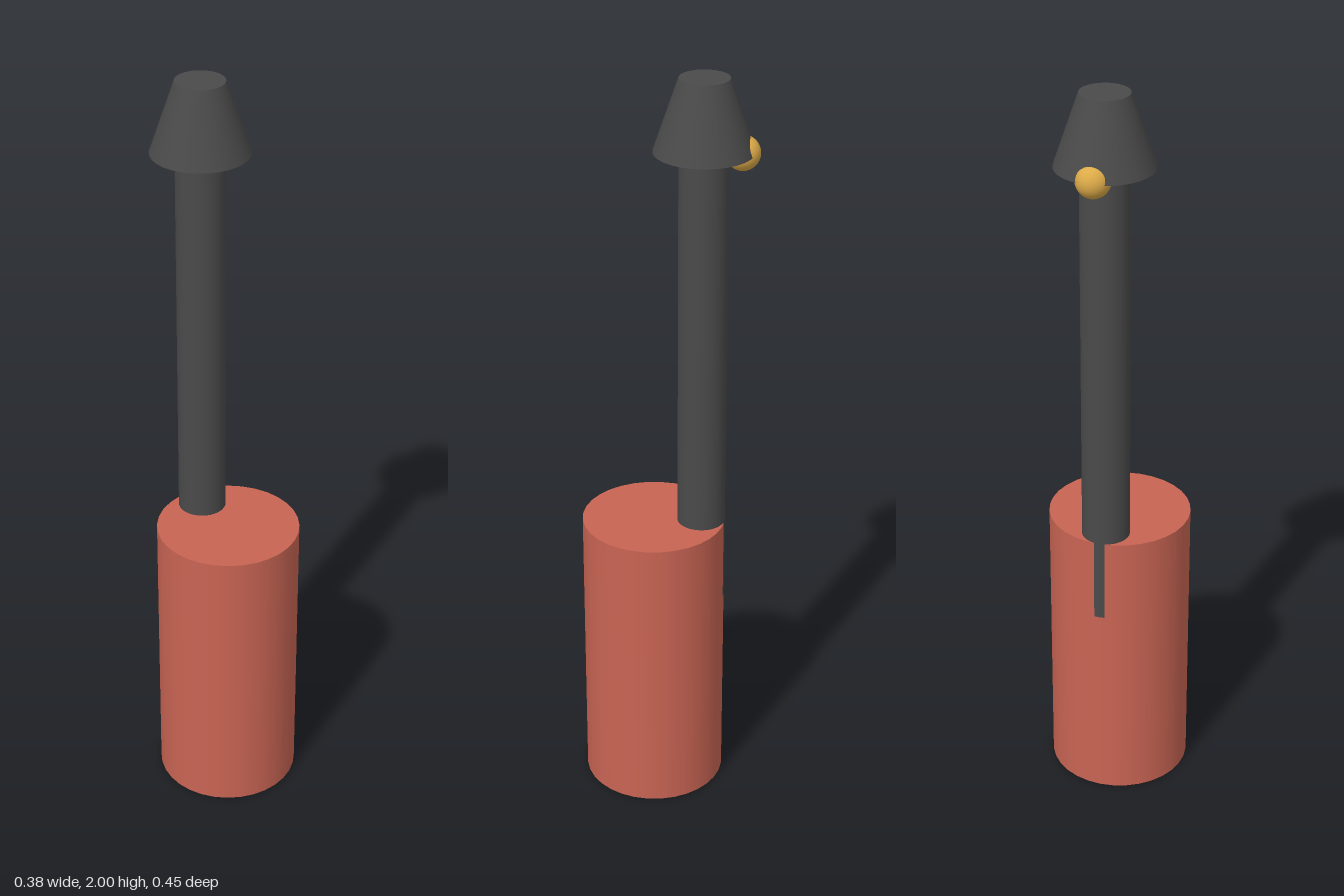
import * as THREE from 'three';

const SIDES = 32;
const material = (color) => new THREE.MeshStandardMaterial({ color });

export function createModel() {
  const group = new THREE.Group();
  const dark = material(0x4a4a4a);
  const red = material(0xc86453);
  const gold = material(0xdcaa48);

  const add = (name, geometry, mat, y, z) => {
    const mesh = new THREE.Mesh(geometry, mat);
    mesh.name = name;
    mesh.position.set(0, y, z);
    group.add(mesh);
  };

  // Upright round between two heights
  const addRound = (name, rTop, rBottom, y0, y1, z, mat) =>
    add(name, new THREE.CylinderGeometry(rTop, rBottom, y1 - y0, SIDES), mat, (y0 + y1) / 2, z);

  const stemZ = -0.088;

  // Wide base cylinder
  addRound('body', 0.189, 0.189, 0, 0.79, 0.038, red);

  // Stem set into the back of the body, just breaking its surface
  addRound('stem', 0.063, 0.063, 0.56, 1.815, stemZ - 0.0004, dark);

  // Tapered cap on the stem
  addRound('cap', 0.063, 0.126, 1.815, 2, stemZ, dark);

  // Small ball at the back rim of the cap
  add('ball', new THREE.SphereGeometry(0.044, SIDES, 16), gold, 1.815, -0.1825);

  return group;
}
